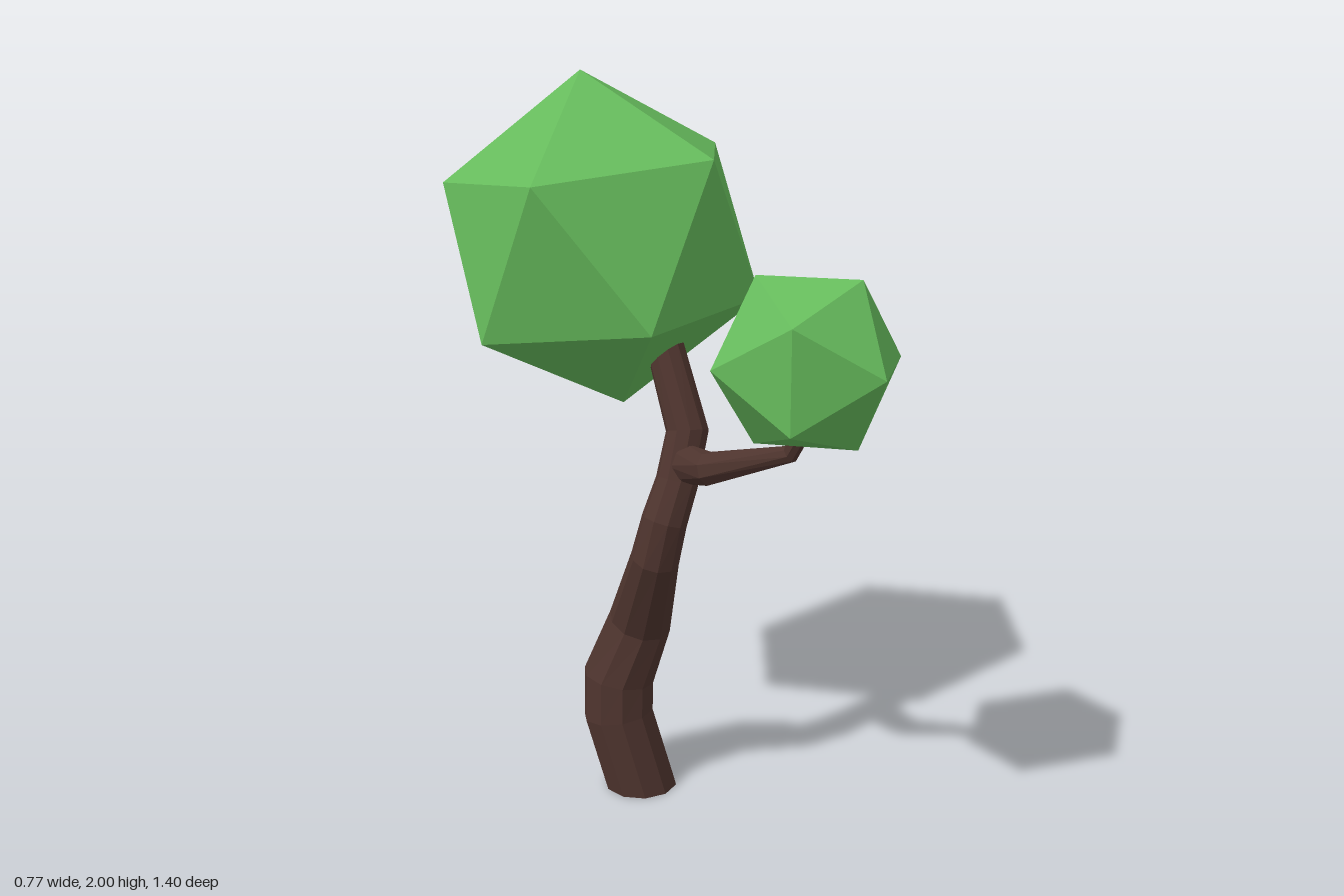
import * as THREE from 'three';
import { ConvexGeometry } from 'three/addons/geometries/ConvexGeometry.js';

const V = (x, y, z) => new THREE.Vector3(x, y, z);

// Twenty-sided leaf ball, turned so one corner lies along pole and a neighbour towards side
function leafBall(radius, pole, side) {
  const p = pole.clone().normalize();
  const u = side.clone().addScaledVector(p, -side.dot(p)).normalize();
  const w = p.clone().cross(u);
  const pts = [p.clone(), p.clone().negate()];
  const h = 1 / Math.sqrt(5);
  for (let i = 0; i < 10; i++) {
    const a = (i * Math.PI) / 5;
    pts.push(V(0, 0, 0)
      .addScaledVector(p, i % 2 ? -h : h)
      .addScaledVector(u, 2 * h * Math.cos(a))
      .addScaledVector(w, 2 * h * Math.sin(a)));
  }
  pts.forEach((q) => q.multiplyScalar(radius));
  return new ConvexGeometry(pts);
}

// Tapered, faceted limb through [x, y, z, radius] stations, capped at both ends
function limb(stations, sides, flatBase) {
  const c = stations.map((s) => V(s[0], s[1], s[2]));
  const up = V(0, 1, 0);
  const rings = c.map((p, i) => {
    const before = i > 0 ? p.clone().sub(c[i - 1]).normalize() : V(0, 0, 0);
    const after = i < c.length - 1 ? c[i + 1].clone().sub(p).normalize() : V(0, 0, 0);
    const dir = i === 0 && flatBase ? up : before.add(after).normalize();
    const q = new THREE.Quaternion().setFromUnitVectors(up, dir);
    return Array.from({ length: sides }, (_, j) => {
      const a = ((j + 0.5) / sides) * Math.PI * 2;
      return V(Math.cos(a), 0, -Math.sin(a)).multiplyScalar(stations[i][3]).applyQuaternion(q).add(p);
    });
  });
  const tris = [];
  const last = rings.length - 1;
  for (let j = 0; j < sides; j++) {
    const k = (j + 1) % sides;
    for (let i = 0; i < last; i++) {
      const [a, b, d, e] = [rings[i][j], rings[i][k], rings[i + 1][k], rings[i + 1][j]];
      tris.push(a, b, d, a, d, e);
    }
    tris.push(c[0], rings[0][k], rings[0][j], c[last], rings[last][j], rings[last][k]);
  }
  const g = new THREE.BufferGeometry().setFromPoints(tris);
  g.computeVertexNormals();
  return g;
}

export function createModel() {
  const bark = new THREE.MeshStandardMaterial({ color: 0x4e342e });
  bark.name = 'bark brown';
  bark.flatShading = true;
  const leaf = new THREE.MeshStandardMaterial({ color: 0x66bb5c });
  leaf.name = 'leaf green';
  leaf.flatShading = true;

  const tree = new THREE.Group();
  tree.name = 'tree';
  const add = (name, geometry, material, x = 0, y = 0, z = 0) => {
    const m = new THREE.Mesh(geometry, material);
    m.name = name;
    m.position.set(x, y, z);
    tree.add(m);
  };

  // Winding trunk
  add('trunk', limb([
    [-0.03, 0, -0.152, 0.103], [-0.07, 0.22, -0.2, 0.1], [-0.065, 0.33, -0.203, 0.1],
    [-0.025, 0.5, -0.155, 0.088], [-0.083, 0.735, -0.03, 0.066], [-0.07, 0.845, -0.007, 0.062],
    [-0.025, 0.945, -0.005, 0.058], [0.02, 1.075, -0.012, 0.058], [0.03, 1.28, -0.105, 0.052],
    [0.02, 1.4, -0.16, 0.045],
  ], 10, true), bark);

  // Side branch reaching the small leaf ball
  add('branch', limb([
    [0, 0.99, 0, 0.056], [-0.06, 1.022, 0.15, 0.045], [0.035, 1.085, 0.345, 0.024],
    [0.035, 1.175, 0.4, 0.022],
  ], 8, false), bark);

  // Leaf balls
  add('largeCrown', leafBall(0.453, V(-0.03, 0.45, -0.045), V(0.385, 0.235, 0.045)), leaf, 0, 1.55, -0.32);
  add('smallCrown', leafBall(0.247, V(0, 0, 1), V(1, 0, 0)), leaf, -0.03, 1.35, 0.453);

  return tree;
}
